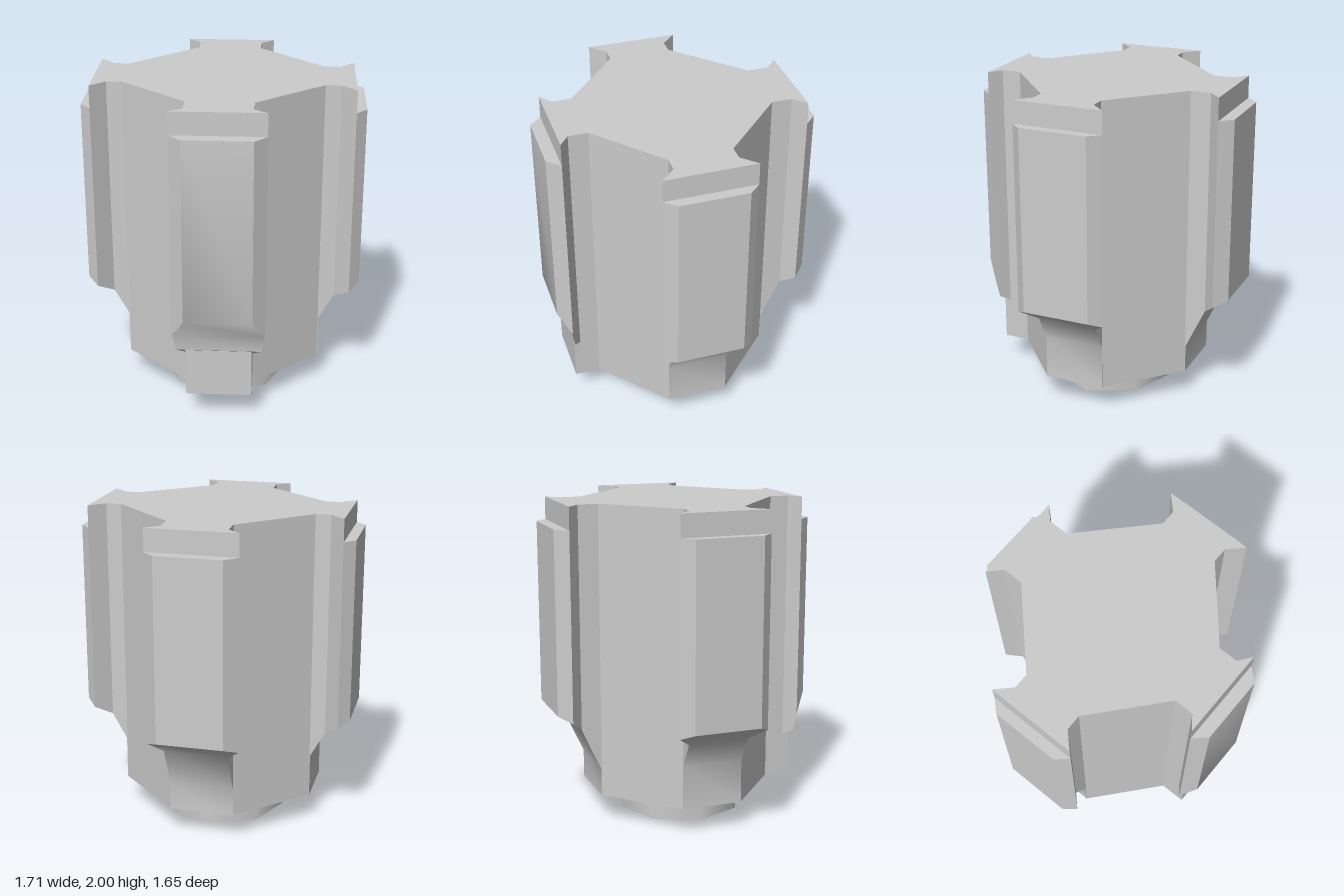
import * as THREE from 'three';
import { toCreasedNormals } from 'three/addons/utils/BufferGeometryUtils.js';

const grey = new THREE.MeshStandardMaterial({ color: 0xcccccc });

// Lofts a tooth outward along +z from stations [distance, halfWidth, bottomY, topY]
function toothGeometry(stations) {
  const pos = [];
  const quad = (a, b, c, d) => pos.push(...a, ...b, ...c, ...a, ...c, ...d);
  const rings = stations.map(([r, w, lo, hi]) => [[-w, hi, r], [w, hi, r], [w, lo, r], [-w, lo, r]]);
  for (let i = 0; i < rings.length - 1; i++) {
    const a = rings[i], b = rings[i + 1];
    for (let k = 0; k < 4; k++) {
      const n = (k + 1) % 4;
      quad(a[k], b[k], b[n], a[n]);
    }
  }
  const [tl, tr, br, bl] = rings[rings.length - 1];
  quad(tl, bl, br, tr);
  const geo = new THREE.BufferGeometry();
  geo.setAttribute('position', new THREE.Float32BufferAttribute(pos, 3));
  return toCreasedNormals(geo, 0.6);
}

export function createModel() {
  const model = new THREE.Group();
  const add = (name, geo) => {
    const mesh = new THREE.Mesh(geo, grey);
    mesh.name = name;
    model.add(mesh);
    return mesh;
  };
  const base = 0.17, top = 2, step = 1.86;

  // Central eight-sided body
  const outline = [[0.605, -0.16], [0.605, 0.22], [0.2, 0.57], [-0.2, 0.57],
    [-0.605, 0.22], [-0.605, -0.16], [-0.2, -0.55], [0.2, -0.55]];
  const shape = new THREE.Shape(outline.map(([x, z]) => new THREE.Vector2(x, -z)));
  const body = new THREE.ExtrudeGeometry(shape, { depth: top - base, bevelEnabled: false });
  add('body', body.rotateX(-Math.PI / 2).translate(0, base, 0));

  // Side teeth: neck, flared lip, bevelled outer face
  const side = toothGeometry([
    [0.6, 0.19, base, top], [0.608, 0.19, base, top], [0.608, 0.19, 0.445, top],
    [0.7, 0.19, 0.61, top], [0.79, 0.28, 0.68, top],
    [0.79, 0.28, 0.68, step], [0.855, 0.21, 0.715, step]]);
  for (const s of [1, -1]) {
    const tooth = add(s > 0 ? 'leftTooth' : 'rightTooth', side);
    tooth.rotation.y = s * Math.PI / 2;
    tooth.position.z = 0.03;
  }

  // Back tooth
  add('backTooth', toothGeometry([
    [0.545, 0.2, base, top], [0.553, 0.2, base, top], [0.553, 0.2, 0.345, top],
    [0.675, 0.2, 0.61, top], [0.75, 0.28, 0.68, top],
    [0.75, 0.28, 0.68, step], [0.825, 0.205, 0.715, step]])).rotation.y = Math.PI;

  // Front tooth, reaching lower over a solid foot
  add('frontTooth', toothGeometry([
    [0.56, 0.2, base, top], [0.69, 0.2, base, top], [0.69, 0.2, 0.44, top],
    [0.735, 0.26, 0.48, top], [0.75, 0.28, 0.59, top],
    [0.75, 0.28, 0.59, step], [0.828, 0.205, 0.715, step]]));
  add('frontFoot', toothGeometry([[0.68, 0.2, base, 0.5], [0.73, 0.2, base, 0.5]]));

  // Round plug underneath
  add('plug', new THREE.CylinderGeometry(0.4, 0.4, base, 8).translate(0, base / 2, 0.04));

  return model;
}
